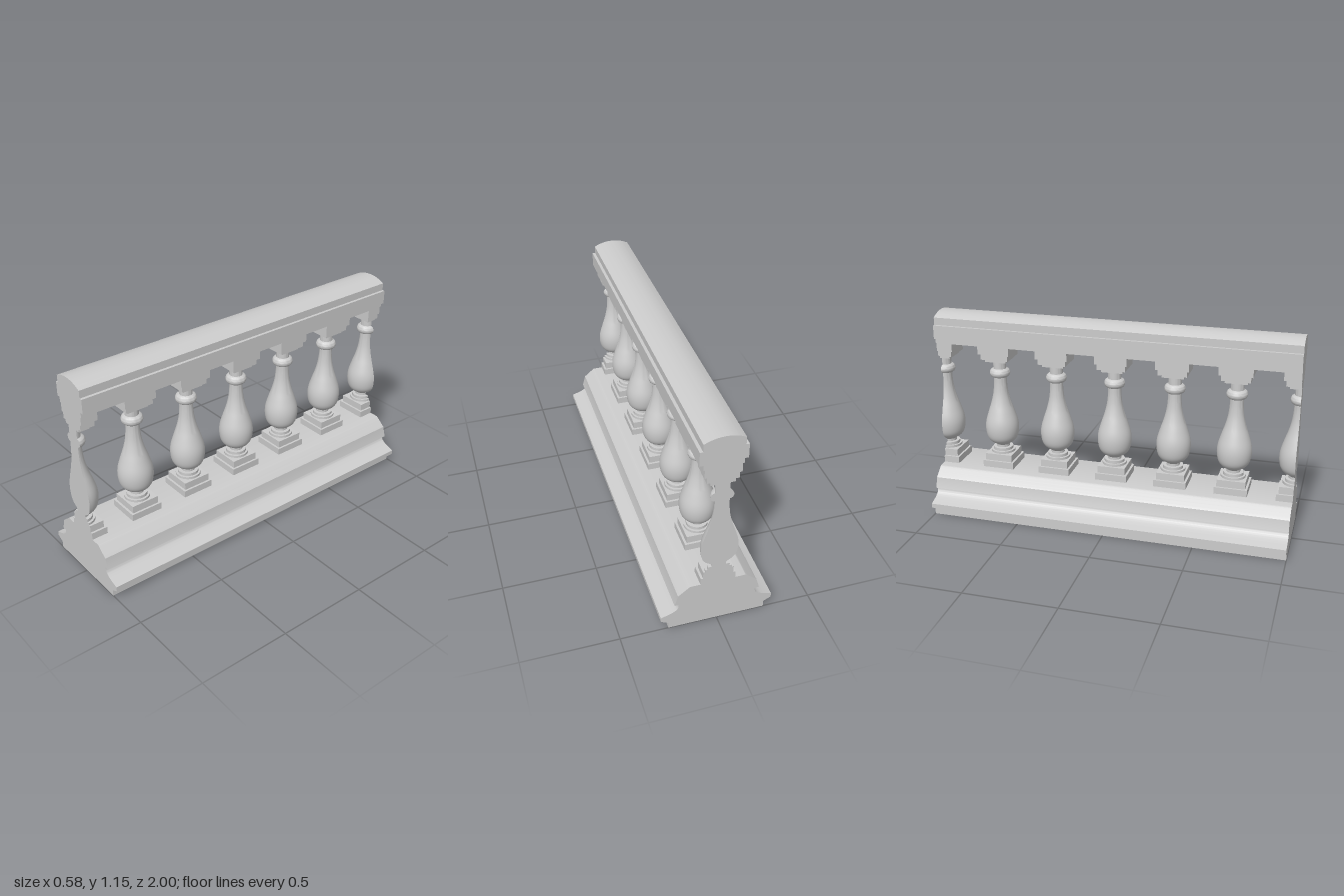
import * as THREE from 'three';
import { toCreasedNormals } from 'three/addons/utils/BufferGeometryUtils.js';

const material = new THREE.MeshStandardMaterial({ color: 0xcccccc });
const LENGTH = 2;
const COUNT = 7;
const vectors = (pairs) => pairs.map(([x, y]) => new THREE.Vector2(x, y));
const spline = (pairs, n) => new THREE.SplineCurve(vectors(pairs)).getPoints(n);

function addMesh(parent, name, geometry) {
  const mesh = new THREE.Mesh(geometry, material);
  mesh.name = name;
  parent.add(mesh);
  return mesh;
}

// Closed symmetric outline from a right-hand profile running bottom to top
function mirroredShape(points) {
  const left = points.filter((p) => p.x > 0).reverse().map((p) => new THREE.Vector2(-p.x, p.y));
  return new THREE.Shape([...points, ...left]);
}

// Long moulding running along z
function moulding(points) {
  const geometry = new THREE.ExtrudeGeometry(mirroredShape(points), { depth: LENGTH, bevelEnabled: false });
  geometry.translate(0, 0, -LENGTH / 2);
  return toCreasedNormals(geometry, 0.4);
}

const baseProfile = [
  ...vectors([[0.252, 0], [0.252, 0.035], [0.291, 0.055], [0.291, 0.08]]),
  ...spline([[0.25, 0.093], [0.222, 0.106], [0.204, 0.122], [0.197, 0.148]], 14),
  ...vectors([[0.221, 0.148]]),
  ...spline([[0.204, 0.206], [0.198, 0.213], [0.15, 0.252], [0.142, 0.257]], 10),
];

const railProfile = [
  ...vectors([[0.09, 0.975], [0.097, 0.975], [0.097, 1.003], [0.116, 1.003], [0.116, 1.08], [0.1, 1.08]]),
  ...spline([[0.1, 1.121], [0.07, 1.134], [0.035, 1.143], [0, 1.146]], 12),
];

// Turned profile: round foot steps, belly, neck, bead and collar
const turnedProfile = [
  ...vectors([[0.068, 0.33], [0.068, 0.348], [0.056, 0.348], [0.056, 0.364], [0.037, 0.364], [0.037, 0.378]]),
  ...spline([[0.045, 0.385], [0.07, 0.402], [0.087, 0.43], [0.094, 0.475], [0.09, 0.52], [0.074, 0.575],
    [0.056, 0.63], [0.043, 0.685], [0.037, 0.74], [0.036, 0.783]], 36),
  ...spline([[0.044, 0.783], [0.053, 0.791], [0.057, 0.805], [0.053, 0.82], [0.044, 0.828]], 12),
  ...vectors([[0.036, 0.831], [0.036, 0.885]]),
];

// Square steps as [half width, bottom, top]
const blocks = [
  ['plinth', 0.09, 0.25, 0.295],
  ['plinthStep', 0.078, 0.295, 0.335],
  ['capitalLower', 0.06, 0.878, 0.895],
  ['capitalMiddle', 0.078, 0.895, 0.928],
  ['capitalUpper', 0.09, 0.928, 0.98],
];

// side: 0 is a whole baluster, +1 / -1 is cut flat at the +z / -z end
function baluster(side) {
  const group = new THREE.Group();
  const start = side > 0 ? Math.PI / 2 : -Math.PI / 2;
  const sweep = side ? Math.PI : Math.PI * 2;
  const lathe = new THREE.LatheGeometry(turnedProfile, side ? 20 : 40, start, sweep);
  addMesh(group, 'turnedShaft', toCreasedNormals(lathe, 0.6));

  for (const [name, half, bottom, top] of blocks) {
    const depth = side ? half : half * 2;
    const block = addMesh(group, name, new THREE.BoxGeometry(half * 2, top - bottom, depth));
    block.position.set(0, (bottom + top) / 2, -side * half / 2);
  }
  if (side) {
    const cut = addMesh(group, 'cutFace', new THREE.ShapeGeometry(mirroredShape(turnedProfile)));
    if (side < 0) cut.rotation.y = Math.PI;
  }
  return group;
}

export function createModel() {
  const model = new THREE.Group();
  model.name = 'balustrade';
  addMesh(model, 'base', moulding(baseProfile));
  addMesh(model, 'handrail', moulding(railProfile));

  // Evenly spaced row, with a half baluster at each end
  for (let i = 0; i < COUNT; i++) {
    const side = i === 0 ? -1 : i === COUNT - 1 ? 1 : 0;
    const item = baluster(side);
    item.name = side ? 'halfBaluster' : 'baluster';
    item.position.z = -LENGTH / 2 + (i * LENGTH) / (COUNT - 1);
    model.add(item);
  }
  return model;
}
